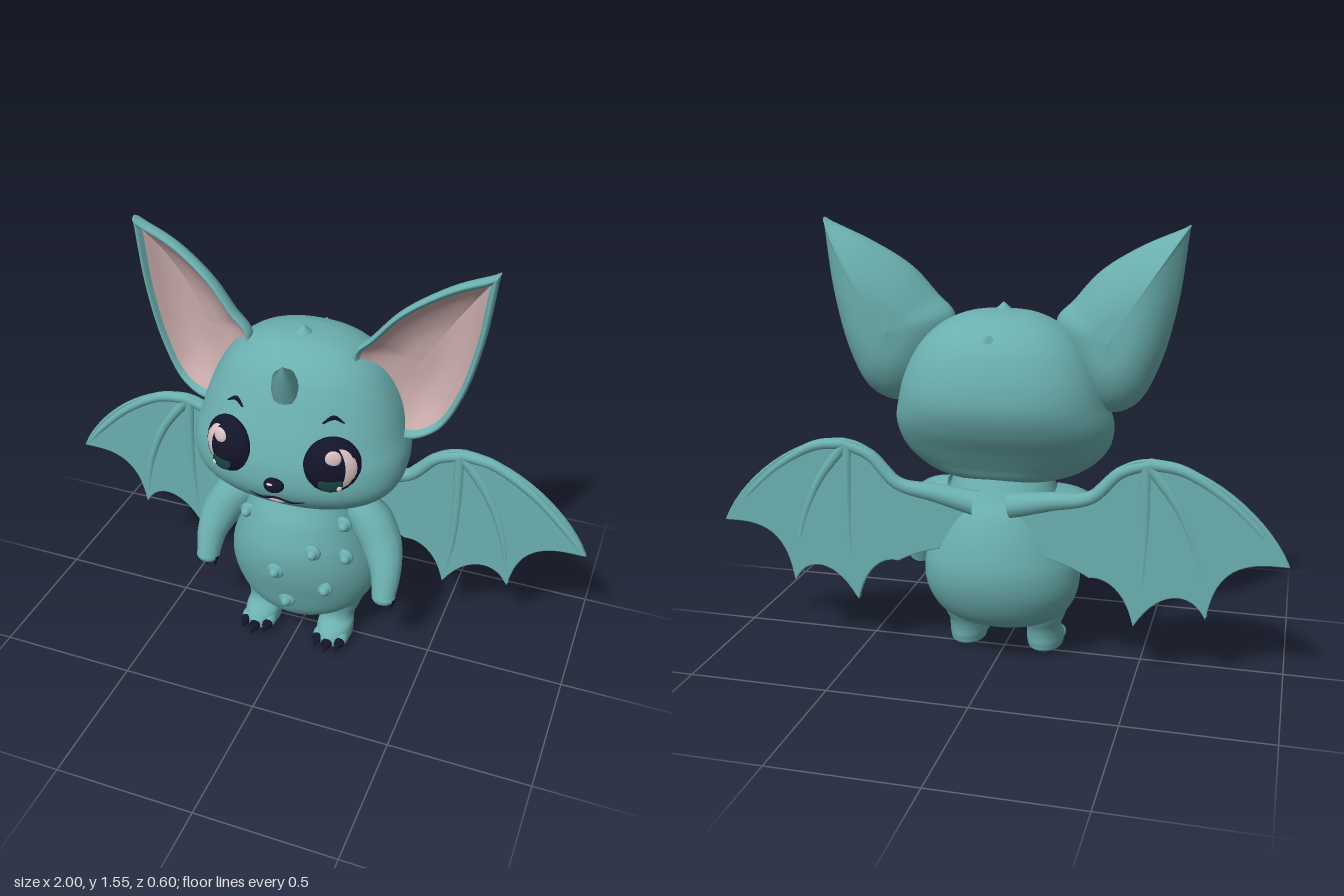
import * as THREE from 'three';
import { ParametricGeometry } from 'three/addons/geometries/ParametricGeometry.js';

const mat = (name, color, side = THREE.FrontSide) => {
  const m = new THREE.MeshStandardMaterial({ color, side });
  m.name = name;
  return m;
};
const V = (x, y, z = 0) => new THREE.Vector3(x, y, z);

// Cross-sections as [y, half width, front z, back z]
const HEAD = [
  [0.65, 0.01, 0.02, 0], [0.653, 0.13, 0.1, -0.09], [0.675, 0.25, 0.18, -0.14], [0.72, 0.328, 0.235, -0.17],
  [0.78, 0.372, 0.265, -0.21], [0.86, 0.382, 0.265, -0.265], [0.94, 0.362, 0.243, -0.298], [1.02, 0.338, 0.213, -0.297],
  [1.1, 0.3, 0.18, -0.275], [1.16, 0.255, 0.148, -0.243], [1.21, 0.19, 0.1, -0.19], [1.24, 0.11, 0.05, -0.12], [1.25, 0.005, -0.03, -0.04]];
const BODY = [
  [0.1, 0.01, 0.03, 0.01], [0.112, 0.12, 0.1, -0.09], [0.16, 0.22, 0.14, -0.18], [0.25, 0.272, 0.17, -0.238],
  [0.35, 0.278, 0.195, -0.262], [0.45, 0.25, 0.2, -0.25], [0.55, 0.213, 0.175, -0.215], [0.62, 0.19, 0.14, -0.17], [0.7, 0.17, 0.1, -0.13]];
const LEG = [
  [0, 0.005, 0.05, 0.04], [0.006, 0.055, 0.115, -0.035], [0.03, 0.066, 0.135, -0.05], [0.065, 0.066, 0.12, -0.055],
  [0.1, 0.062, 0.075, -0.065], [0.15, 0.08, 0.07, -0.09], [0.22, 0.1, 0.09, -0.11], [0.3, 0.08, 0.07, -0.09], [0.34, 0.01, 0, -0.02]];

// Smooth skin through a stack of rounded cross-sections
function loft(rings, cx = 0, power = 1) {
  const a = new THREE.CatmullRomCurve3(rings.map(r => V(r[0], r[1])), false, 'catmullrom');
  const b = new THREE.CatmullRomCurve3(rings.map(r => V(r[0], r[2], r[3])), false, 'catmullrom');
  const bow = n => Math.sign(n) * Math.pow(Math.abs(n), power);
  return new ParametricGeometry((u, v, out) => {
    const p = a.getPoint(v), q = b.getPoint(v), t = u * Math.PI * 2;
    out.set(cx + p.y * bow(Math.cos(t)), p.x, (q.y + q.z) / 2 - bow(Math.sin(t)) * (q.y - q.z) / 2);
  }, 48, 48);
}

// Front z of a loft at x, y
function frontZ(rings, x, y, power = 1) {
  const i = Math.max(1, rings.findIndex(r => r[0] >= y));
  const k = (y - rings[i - 1][0]) / (rings[i][0] - rings[i - 1][0]);
  const [, w, f, b] = rings[i].map((n, j) => THREE.MathUtils.lerp(rings[i - 1][j], n, k));
  const c = Math.pow(Math.min(1, Math.abs(x) / w), 1 / power);
  return (f + b) / 2 + Math.pow(1 - c * c, power / 2) * (f - b) / 2;
}

// Tube whose radius follows a list of values
function taper(points, radii, n = 24) {
  const curve = new THREE.CatmullRomCurve3(points);
  const g = new THREE.TubeGeometry(curve, n, 1, 14);
  const p = g.attributes.position, v = V(0, 0);
  for (let i = 0; i <= n; i++) {
    const c = curve.getPointAt(i / n), f = i / n * (radii.length - 1), k = Math.min(Math.floor(f), radii.length - 2);
    const r = THREE.MathUtils.lerp(radii[k], radii[k + 1], f - k);
    for (let j = i * 15; j < (i + 1) * 15; j++) {
      v.fromBufferAttribute(p, j).sub(c).multiplyScalar(r).add(c);
      p.setXYZ(j, v.x, v.y, v.z);
    }
  }
  return g;
}

// Reflected copy of a group with its faces turned the right way
function mirrored(group) {
  const copy = new THREE.Group();
  copy.name = group.name.replace('left', 'right');
  group.updateMatrixWorld(true);
  group.traverse(o => {
    if (!o.isMesh) return;
    const g = o.geometry.clone().applyMatrix4(o.matrixWorld).applyMatrix4(new THREE.Matrix4().makeScale(-1, 1, 1));
    const n = g.attributes.position.count;
    const src = g.index ? Array.from(g.index.array) : Array.from({ length: n }, (_, i) => i);
    for (let i = 0; i < src.length; i += 3) [src[i], src[i + 1]] = [src[i + 1], src[i]];
    g.setIndex(src);
    const m = new THREE.Mesh(g, o.material);
    m.name = o.name;
    copy.add(m);
  });
  return copy;
}

export function createModel() {
  const teal = mat('teal skin', 0x6bafaf), pink = mat('pink inner ear', 0xc6a8a8, THREE.DoubleSide);
  const navy = mat('dark navy', 0x14142a), green = mat('dark green iris', 0x17403f), shine = mat('eye shine', 0xdcc4c6);
  const model = new THREE.Group(), left = new THREE.Group();
  model.name = 'bat';
  left.name = 'left side';
  const add = (parent, name, geo, material, pos) => {
    const m = new THREE.Mesh(geo, material);
    m.name = name;
    if (pos) m.position.copy(pos);
    parent.add(m);
    return m;
  };
  const blob = (parent, name, material, pos, sx, sy, sz) =>
    add(parent, name, new THREE.SphereGeometry(1, 24, 16).scale(sx, sy, sz), material, pos);
  const spike = (parent, name, material, pos, r, h, dir) =>
    add(parent, name, new THREE.ConeGeometry(r, h, 12), material, pos)
      .quaternion.setFromUnitVectors(V(0, 1), dir.normalize());

  add(model, 'head', loft(HEAD, 0, 0.9), teal);
  add(model, 'body', loft(BODY), teal);

  // Forehead horn and crown bumps
  add(model, 'horn', taper([V(0, 1.1, 0.15), V(0, 1.15, 0.168), V(0, 1.19, 0.18), V(0, 1.215, 0.185)], [0.05, 0.046, 0.038, 0.002]), teal);
  spike(model, 'crownBump', teal, V(0, 1.25, -0.01), 0.05, 0.045, V(0, 1, 0));
  spike(model, 'rearBump', teal, V(0, 1.18, -0.225), 0.035, 0.03, V(0, 0.7, -0.6));

  // Belly bumps: a dome with a rounded tip
  for (const [x, y] of [[0.1, 0.48], [0.2, 0.445], [-0.03, 0.38], [0.14, 0.315], [0, 0.23], [-0.17, 0.545], [0.18, 0.56]]) {
    const z = frontZ(BODY, x, y);
    blob(model, 'bellyBump', teal, V(x, y, z), 0.032, 0.032, 0.016);
    blob(model, 'bellyBumpTip', teal, V(x * 1.03, y, z + 0.01), 0.019, 0.019, 0.023);
  }

  // Nose, mouth and tongue
  blob(model, 'nose', navy, V(0, 0.813, 0.272), 0.036, 0.026, 0.028);
  blob(model, 'noseShine', shine, V(-0.006, 0.826, 0.292), 0.013, 0.005, 0.005);
  const onFace = (x, y) => V(x, y, frontZ(HEAD, x, y, 0.9) + 0.002);
  add(model, 'mouth', taper([[-0.1, 0.75], [-0.055, 0.737], [0, 0.752], [0.055, 0.737], [0.1, 0.75]].map(p => onFace(...p)),
    [0.003, 0.006, 0.006, 0.006, 0.003]), navy);
  blob(model, 'tongue', pink, onFace(0, 0.737), 0.032, 0.011, 0.008);

  // Eye: stacked shallow domes
  const eye = new THREE.Group();
  eye.name = 'eye';
  eye.position.set(0.184, 0.9, 0.212);
  eye.rotation.set(-0.12, 0.38, 0, 'YXZ');
  left.add(eye);
  blob(eye, 'eyeRim', navy, V(0, 0, 0), 0.097, 0.103, 0.042);
  blob(eye, 'eyeWhite', shine, V(0.002, 0, 0), 0.09, 0.095, 0.047);
  blob(eye, 'iris', navy, V(-0.008, 0, 0), 0.082, 0.094, 0.053);
  blob(eye, 'irisGlow', green, V(-0.008, -0.052, 0.041), 0.042, 0.026, 0.008);
  blob(eye, 'bigShine', shine, V(0, 0.046, 0.046), 0.027, 0.028, 0.008);
  blob(eye, 'smallShine', shine, V(0.02, -0.064, 0.042), 0.01, 0.011, 0.008);
  add(left, 'eyebrow', taper([[0.14, 1.038], [0.172, 1.056], [0.206, 1.038]].map(p => onFace(...p)), [0.003, 0.008, 0.002]), navy);

  // Ear: outline swept from the back of the cup over the rim into the pink dish
  const outline = new THREE.CatmullRomCurve3([
    V(0.625, 1.545), V(0.605, 1.535), V(0.47, 1.475), V(0.33, 1.385), V(0.24, 1.285), V(0.18, 1.215), V(0.22, 1.06), V(0.31, 0.935),
    V(0.385, 0.912), V(0.47, 0.955), V(0.54, 1.085), V(0.595, 1.3), V(0.622, 1.525)], true, 'centripetal');
  const heart = V(0.38, 1.17);
  const sweep = profile => {
    const path = new THREE.CatmullRomCurve3(profile.map(p => V(p[0], p[1])), false, 'centripetal');
    return new ParametricGeometry((u, v, out) => {
      const p = outline.getPoint(u), s = path.getPoint(v);
      out.copy(p).sub(heart).multiplyScalar(s.x).add(heart);
      out.z = s.y - 0.035 + 0.06 * THREE.MathUtils.smoothstep(0.55 - out.x, 0, 0.35);
    }, 72, 20);
  };
  const ear = new THREE.Group();
  ear.name = 'left ear';
  left.add(ear);
  teal.side = THREE.DoubleSide;
  add(ear, 'earShell', sweep([[0.88, -0.012], [0.94, 0.008], [0.99, 0], [1, -0.02], [0.85, -0.072], [0.5, -0.122], [0.002, -0.138]]), teal);
  add(ear, 'innerEar', sweep([[0.002, -0.085], [0.4, -0.075], [0.7, -0.045], [0.89, -0.01]]), pink);

  // Arm with three claws
  add(left, 'arm', taper([V(0.17, 0.595, -0.02), V(0.245, 0.555, -0.005), V(0.305, 0.475, 0.02), V(0.338, 0.385, 0.06), V(0.345, 0.29, 0.095)],
    [0.055, 0.08, 0.073, 0.056, 0.042]), teal);
  blob(left, 'hand', teal, V(0.345, 0.293, 0.095), 0.044, 0.03, 0.04);
  for (const x of [-0.032, 0, 0.032])
    spike(left, 'handClaw', navy, V(0.345 + x, 0.272, 0.105), 0.015, 0.048, V(x * 0.3, -1, 0.1));

  // Leg with three toes and claws
  add(left, 'leg', loft(LEG, 0.145), teal);
  for (const x of [-0.042, 0, 0.042]) {
    const z = 0.125 - Math.abs(x) * 0.5;
    blob(left, 'toe', teal, V(0.145 + x, 0.035, z - 0.015), 0.025, 0.027, 0.032);
    blob(left, 'clawRoot', navy, V(0.145 + x, 0.034, z + 0.012), 0.021, 0.02, 0.016);
    spike(left, 'footClaw', navy, V(0.145 + x, 0.029, z + 0.033), 0.019, 0.05, V(x, -0.2, 1));
  }

  // Wing membrane with scalloped trailing edge
  const s = new THREE.Shape();
  s.moveTo(0.08, 0.64);
  s.bezierCurveTo(0.2, 0.64, 0.3, 0.65, 0.335, 0.665);
  s.bezierCurveTo(0.4, 0.73, 0.44, 0.79, 0.54, 0.795);
  s.bezierCurveTo(0.72, 0.79, 0.92, 0.63, 0.995, 0.468);
  s.bezierCurveTo(0.9, 0.47, 0.76, 0.48, 0.735, 0.26);
  s.bezierCurveTo(0.69, 0.36, 0.57, 0.35, 0.495, 0.21);
  s.bezierCurveTo(0.47, 0.33, 0.4, 0.38, 0.34, 0.37);
  s.quadraticCurveTo(0.24, 0.43, 0.1, 0.44);
  const wing = new THREE.Group();
  wing.name = 'left wing';
  left.add(wing);
  add(wing, 'membrane', new THREE.ExtrudeGeometry(s, { depth: 0.01, bevelSize: 0.004, bevelThickness: 0.005, bevelSegments: 2, curveSegments: 14 }),
    teal, V(0, 0, -0.18));
  const bone = (name, pts, radii) => add(wing, name, taper(pts.map(p => V(p[0], p[1], -0.173)), radii), teal);
  bone('wingArm', [[0.06, 0.6], [0.2, 0.625], [0.34, 0.65], [0.44, 0.745], [0.54, 0.78]], [0.045, 0.034, 0.024, 0.022, 0.02]);
  bone('leadingFinger', [[0.53, 0.78], [0.64, 0.765], [0.78, 0.685], [0.9, 0.575], [0.99, 0.47]], [0.021, 0.019, 0.016, 0.014, 0.008]);
  bone('middleFinger', [[0.53, 0.775], [0.63, 0.64], [0.7, 0.47], [0.735, 0.265]], [0.021, 0.018, 0.014, 0.007]);
  bone('innerFinger', [[0.52, 0.775], [0.525, 0.6], [0.52, 0.4], [0.495, 0.215]], [0.021, 0.018, 0.014, 0.007]);

  model.add(left, mirrored(left));
  return model;
}
